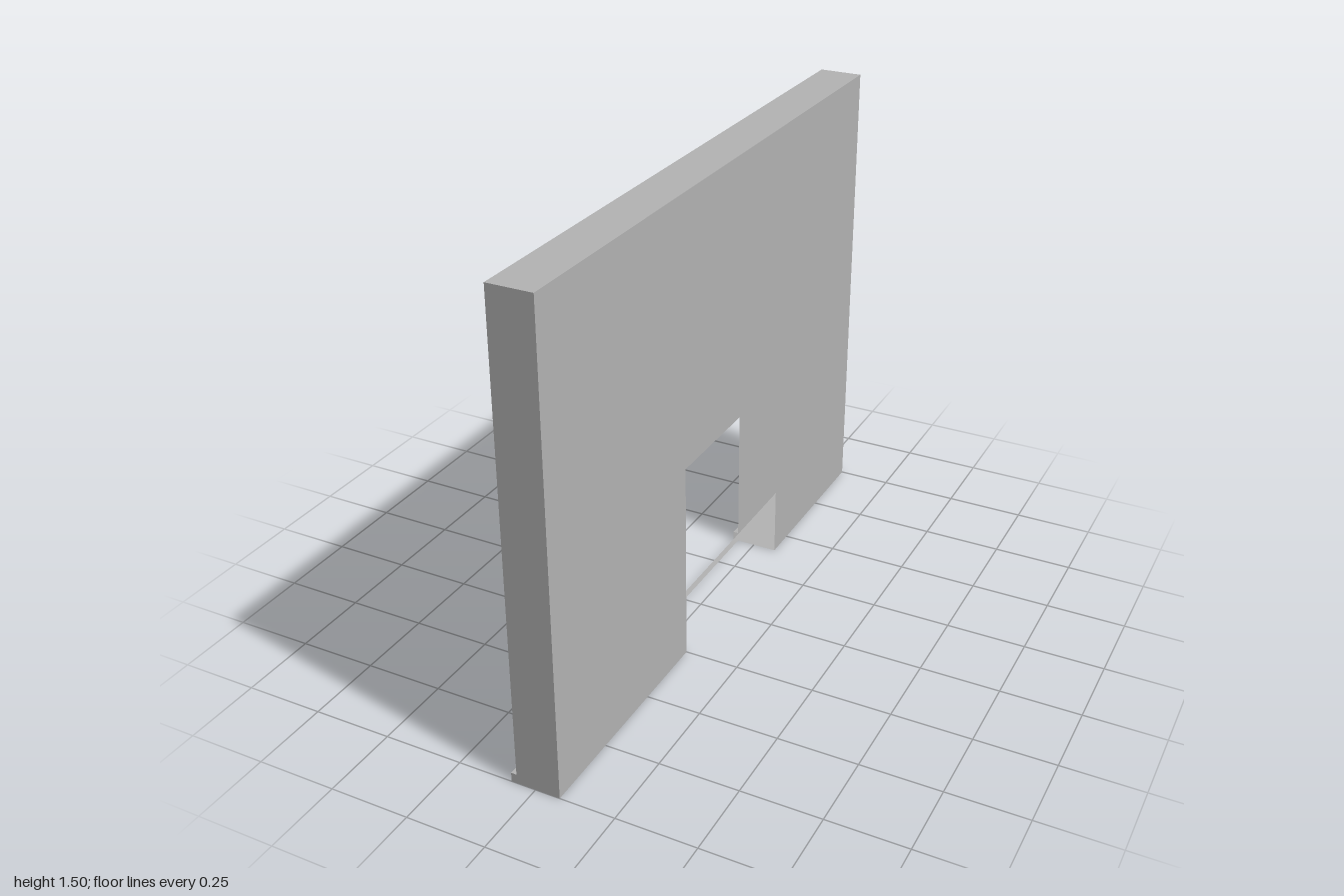
import * as THREE from 'three';

const wallGrey = new THREE.MeshStandardMaterial({ color: 0xb3b3b3, side: THREE.DoubleSide });
wallGrey.name = 'wall grey';

// Overall sizes: inner face, outer face, skirting face, doorway
const RIGHT = -0.06, LEFT = 0.0775, SKIRT = -0.0775;
const HEIGHT = 1.5, SKIRT_H = 0.03, DOOR_H = 0.65;
const DOOR_BACK = -0.4, DOOR_FRONT = 0.25;

const polygon = (points) =>
  new THREE.ShapeGeometry(new THREE.Shape(points.map(([a, b]) => new THREE.Vector2(a, b))));

export function createModel() {
  const group = new THREE.Group();
  group.name = 'wallWithDoorway';

  const add = (name, geometry) => {
    const mesh = new THREE.Mesh(geometry, wallGrey);
    mesh.name = name;
    group.add(mesh);
  };

  // Upright panel facing +x (side 1) or -x (side -1), outlined in z and y
  const upright = (name, x, side, points) => {
    const g = polygon(points.map(([z, y]) => [-side * z, y]));
    g.rotateY(side * Math.PI / 2).translate(x, 0, 0);
    add(name, g);
  };

  // Level panel facing up (1) or down (-1)
  const level = (name, y, facing, x0, x1, z0, z1) => {
    const g = new THREE.PlaneGeometry(x1 - x0, z1 - z0);
    g.rotateX(-facing * Math.PI / 2).translate((x0 + x1) / 2, y, (z0 + z1) / 2);
    add(name, g);
  };

  // Panel outline with the doorway cut out of its lower edge
  const notched = (base) => [
    [-1, base], [DOOR_BACK, base], [DOOR_BACK, DOOR_H], [DOOR_FRONT, DOOR_H],
    [DOOR_FRONT, base], [1, base], [1, HEIGHT], [-1, HEIGHT],
  ];
  upright('leftWallFace', LEFT, 1, notched(0));
  upright('rightWallFace', RIGHT, -1, notched(SKIRT_H));

  // Top and the two closed ends, stepped out at the skirting
  level('wallTop', HEIGHT, 1, RIGHT, LEFT, -1, 1);
  const profile = [
    [SKIRT, 0], [LEFT, 0], [LEFT, HEIGHT], [RIGHT, HEIGHT], [RIGHT, SKIRT_H], [SKIRT, SKIRT_H],
  ];
  add('frontEnd', polygon(profile).translate(0, 0, 1));
  add('backEnd', polygon(profile.map(([x, y]) => [-x, y])).rotateY(Math.PI).translate(0, 0, -1));

  // Base and skirting on each side of the doorway; the reveals stay open
  for (const [part, z0, z1] of [['back', -1, DOOR_BACK], ['front', DOOR_FRONT, 1]]) {
    level(part + 'Base', 0, -1, RIGHT, LEFT, z0, z1);
    level(part + 'SkirtingTop', SKIRT_H, 1, SKIRT, RIGHT, z0, z1);
    upright(part + 'SkirtingFace', SKIRT, -1, [[z0, 0], [z1, 0], [z1, SKIRT_H], [z0, SKIRT_H]]);
  }

  // Thin threshold strip running the whole length under the skirting
  level('thresholdStrip', 0, -1, SKIRT, RIGHT, -1, 1);

  return group;
}
